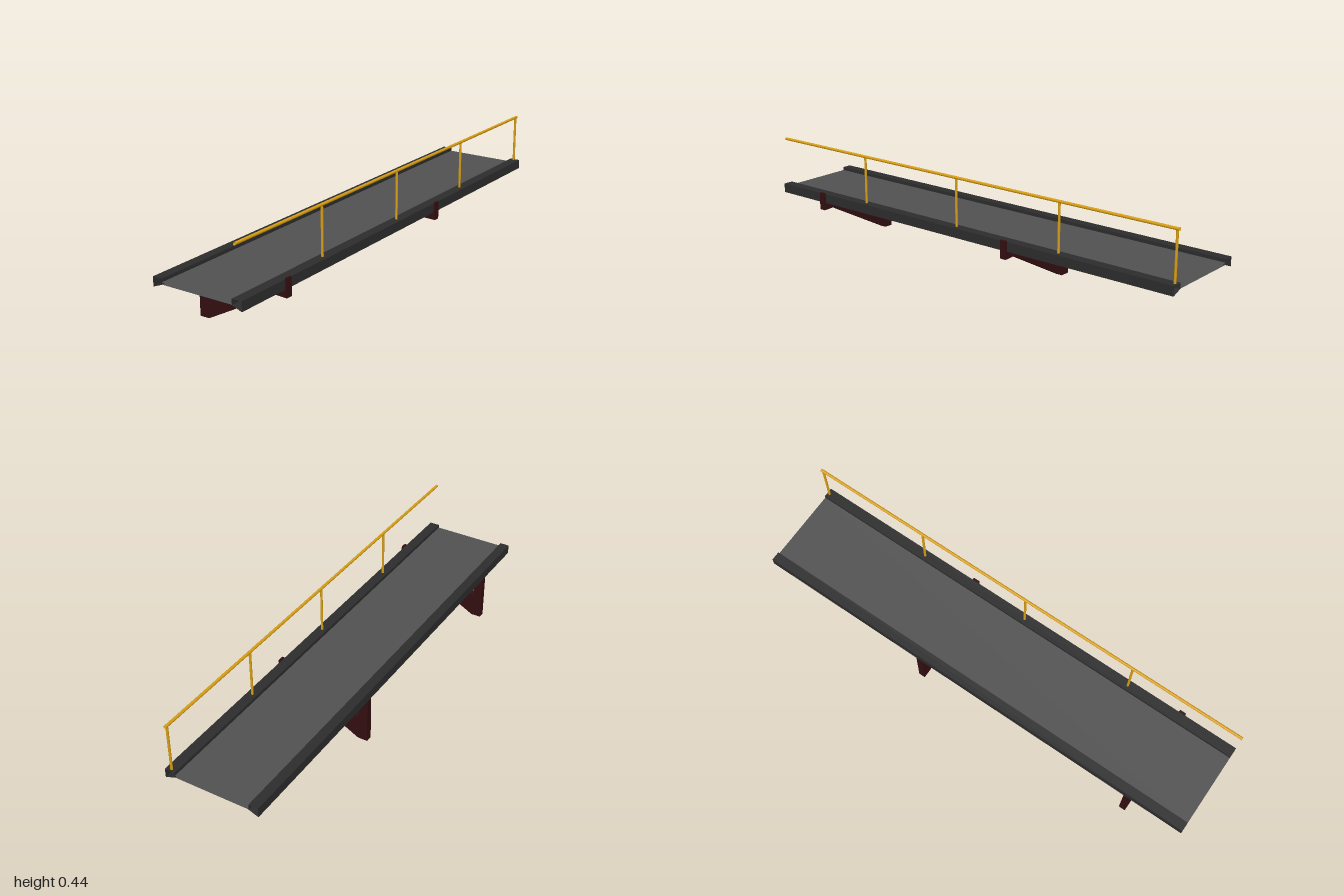
import * as THREE from 'three';

const mat = (color) => new THREE.MeshStandardMaterial({ color, side: THREE.DoubleSide });

// Open-ended prism along z from a counter-clockwise outline
function openPrism(outline, z0, z1) {
  const pos = [];
  outline.forEach(([ax, ay], i) => {
    const [bx, by] = outline[(i + 1) % outline.length];
    pos.push(ax, ay, z0, bx, by, z0, bx, by, z1);
    pos.push(ax, ay, z0, bx, by, z1, ax, ay, z1);
  });
  const g = new THREE.BufferGeometry();
  g.setAttribute('position', new THREE.Float32BufferAttribute(pos, 3));
  g.computeVertexNormals();
  return g;
}

export function createModel() {
  const model = new THREE.Group();
  const deckMat = mat(0x505050);
  const frameMat = mat(0x2c2c2c);
  const bracketMat = mat(0x330e11);
  const railMat = mat(0xd69c12);

  const add = (name, geometry, material, x = 0, y = 0, z = 0) => {
    const mesh = new THREE.Mesh(geometry, material);
    mesh.name = name;
    mesh.position.set(x, y, z);
    model.add(mesh);
    return mesh;
  };

  // Walkway plate: upper and lower skins, open at the ends
  const deckMinX = -0.165, deckMaxX = 0.152;
  const deckWidth = deckMaxX - deckMinX, deckX = (deckMinX + deckMaxX) / 2;
  add('deckTop', new THREE.PlaneGeometry(deckWidth, 2).rotateX(-Math.PI / 2), deckMat, deckX, 0.222);
  add('deckUnderside', new THREE.PlaneGeometry(deckWidth, 2).rotateX(Math.PI / 2), deckMat, deckX, 0.214);

  // Cross strips under the plate
  for (const z of [-0.75, -0.25, 0.25, 0.75]) {
    add('crossStrip', new THREE.PlaneGeometry(deckWidth, 0.04).rotateX(Math.PI / 2), frameMat, deckX, 0.2125, z);
  }

  // Edge beams with sloping undersides
  add('rightEdgeBeam', openPrism([
    [-0.205, 0.197], [-0.165, 0.213], [-0.165, 0.236], [-0.205, 0.236],
  ], -1, 1), frameMat);
  add('leftEdgeBeam', openPrism([
    [0.152, 0.213], [0.195, 0.197], [0.195, 0.236], [0.152, 0.236],
  ], -1, 1), frameMat);

  // Support brackets
  const profile = new THREE.Shape([
    [-0.205, 0], [-0.163, 0], [0.152, 0.168], [0.203, 0.166], [0.203, 0.241], [0.195, 0.241],
    [0.195, 0.197], [0.152, 0.213], [-0.165, 0.103], [-0.165, 0.213], [-0.205, 0.197],
  ].map(([x, y]) => new THREE.Vector2(x, y)));
  const depth = 0.028;
  const bracketGeo = new THREE.ExtrudeGeometry(profile, { depth, bevelEnabled: false });
  bracketGeo.translate(0, 0, -depth / 2);
  for (const z of [0.75, -0.25]) add('supportBracket', bracketGeo, bracketMat, 0, 0, z);

  // Handrail tube and its posts
  const railX = 0.172;
  add('handrail', new THREE.CylinderGeometry(0.006, 0.006, 2, 16, 1, true).rotateX(Math.PI / 2), railMat, railX, 0.436);
  const postGeo = new THREE.CylinderGeometry(0.005, 0.005, 0.196, 16, 1, true);
  for (const z of [0.51, 0.01, -0.49, -0.99]) add('handrailPost', postGeo, railMat, railX, 0.334, z);

  return model;
}
